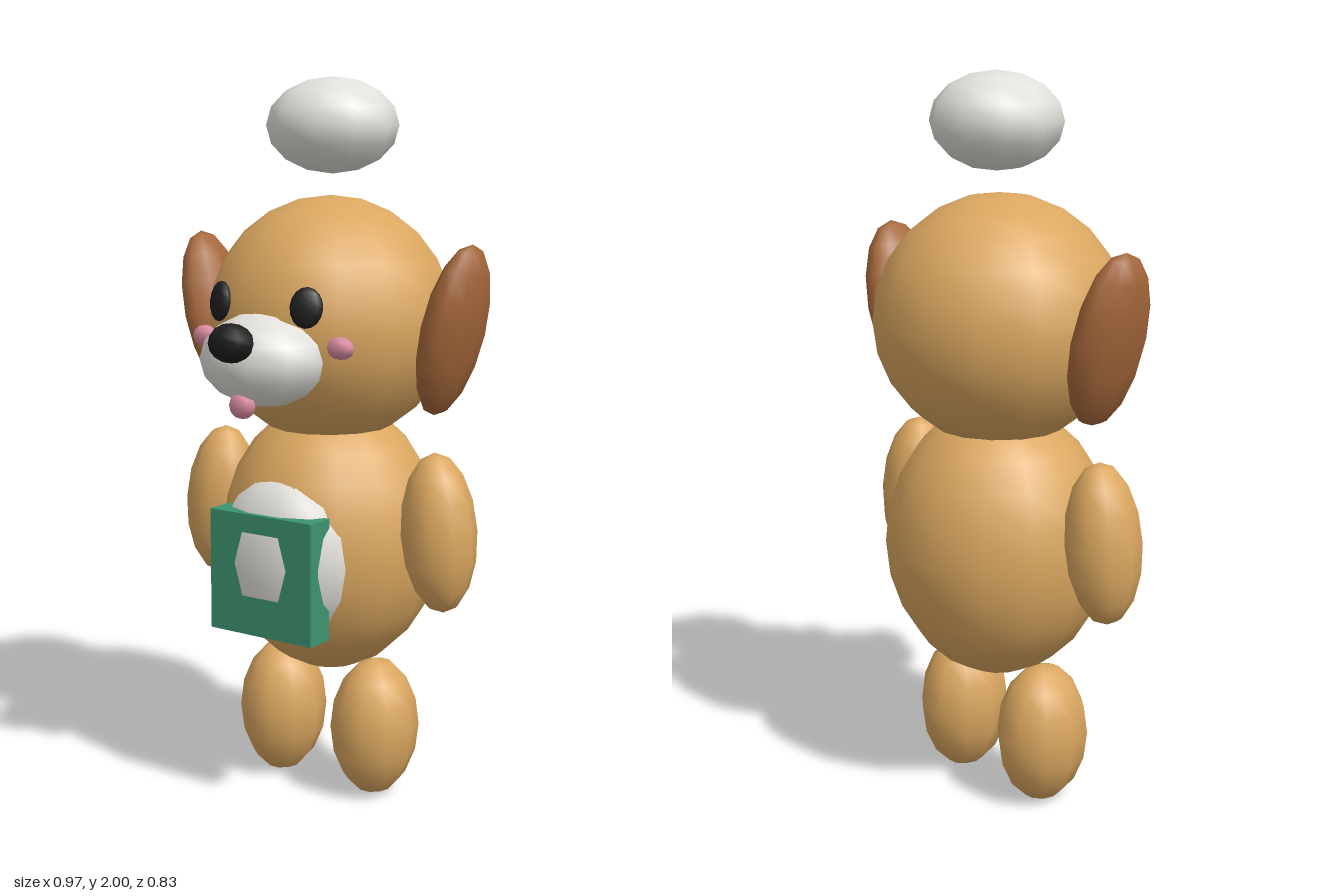
import * as THREE from 'three';

const mat = (name, color) => {
  const m = new THREE.MeshStandardMaterial({ color });
  m.name = name;
  return m;
};

export function createModel() {
  const model = new THREE.Group();
  model.name = 'toyDog';

  const tan = mat('tanFur', 0xdba760);
  const brown = mat('brownFur', 0xa5673a);
  const white = mat('whiteFur', 0xe2e0da);
  const black = mat('black', 0x1e1e1e);
  const pink = mat('pink', 0xdc8ca2);
  const green = mat('green', 0x3d946f);

  // Smooth low-poly ellipsoid: position, radii, segment counts, rotation
  const blob = (name, material, pos, radii, w = 10, h = 8, rot = [0, 0, 0]) => {
    const mesh = new THREE.Mesh(new THREE.SphereGeometry(1, w, h), material);
    mesh.name = name;
    mesh.position.set(...pos);
    mesh.scale.set(...radii);
    mesh.rotation.set(...rot);
    model.add(mesh);
  };

  // Mirrored pair; the given side is the model's left (+x)
  const pair = (name, material, [x, y, z], radii, w, h, [rx, ry, rz] = [0, 0, 0]) => {
    blob('left' + name, material, [x, y, z], radii, w, h, [rx, ry, rz]);
    blob('right' + name, material, [-x, y, z], radii, w, h, [rx, -ry, -rz]);
  };

  // Head and body
  blob('head', tan, [0, 1.343, -0.08], [0.34, 0.34, 0.343], 14, 12);
  blob('body', tan, [0, 0.73, -0.087], [0.312, 0.383, 0.312], 14, 12);
  blob('belly', white, [0, 0.705, 0.148], [0.21, 0.231, 0.115]);
  blob('pompom', white, [0, 1.87, -0.09], [0.182, 0.13, 0.18]);

  // Limbs and ears
  pair('Arm', tan, [0.372, 0.79, -0.061], [0.102, 0.22, 0.108], 10, 8, [0, 0, 0.08]);
  pair('Leg', tan, [0.16, 0.198, -0.074], [0.12, 0.198, 0.136], 10, 8);
  pair('Ear', brown, [0.397, 1.338, -0.076], [0.07, 0.237, 0.124], 10, 8, [0, 0, -0.24]);

  // Face
  blob('muzzle', white, [0, 1.266, 0.222], [0.18, 0.126, 0.158]);
  blob('nose', black, [0, 1.323, 0.365], [0.07, 0.052, 0.048], 8, 8);
  blob('tongue', pink, [0, 1.155, 0.32], [0.042, 0.036, 0.026], 8, 6);
  pair('Eye', black, [0.141, 1.411, 0.23], [0.044, 0.054, 0.022], 8, 8, [-0.15, 0.45, 0]);
  pair('Cheek', pink, [0.222, 1.308, 0.193], [0.043, 0.03, 0.024], 8, 6);

  // Box held against the belly
  const box = new THREE.Mesh(new THREE.BoxGeometry(0.336, 0.336, 0.085), green);
  box.name = 'giftBox';
  box.position.set(0, 0.677, 0.2065);
  model.add(box);

  return model;
}
